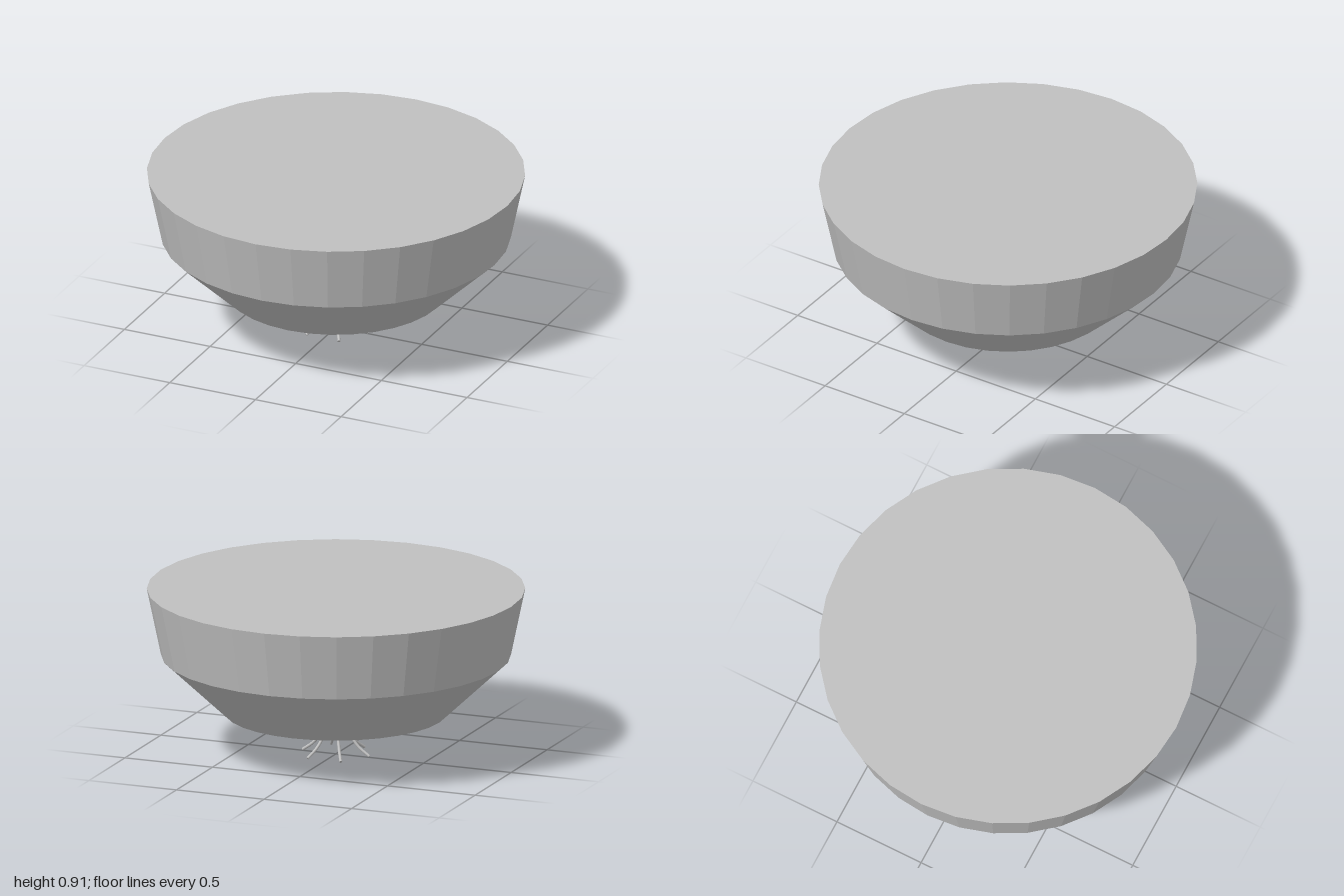
import * as THREE from 'three';

export function createModel() {
  const model = new THREE.Group();
  const grey = new THREE.MeshStandardMaterial({ color: 0xc0c0c0 });
  grey.name = 'light grey';

  // Faceted closed bowl, tapering in three steps to a flat base
  const profile = [[0, 0.135], [0.2, 0.135], [0.59, 0.235], [0.925, 0.55], [1, 0.91], [0, 0.91]]
    .map(([r, y]) => new THREE.Vector2(r, y));
  const bowlGeometry = new THREE.LatheGeometry(profile, 32).toNonIndexed();
  bowlGeometry.computeVertexNormals();
  const bowl = new THREE.Mesh(bowlGeometry, grey);
  bowl.name = 'bowl';
  model.add(bowl);

  // Six splayed wires below the base, each with capped ends
  const radius = 0.008;
  const points = [[0.065, 0.15], [0.09, 0.105], [0.13, 0.055], [0.19, 0.011]]
    .map(([x, y]) => new THREE.Vector3(x, y, 0));
  const curve = new THREE.CatmullRomCurve3(points);
  const wireGeometry = new THREE.TubeGeometry(curve, 8, radius, 8);
  const capGeometry = new THREE.CircleGeometry(radius, 8);
  for (let i = 0; i < 6; i++) {
    const wire = new THREE.Group();
    wire.name = 'wire' + (i + 1);
    wire.add(new THREE.Mesh(wireGeometry, grey));
    const cap = new THREE.Mesh(capGeometry, grey);
    cap.name = 'wireEnd';
    cap.position.copy(points[3]);
    cap.quaternion.setFromUnitVectors(new THREE.Vector3(0, 0, 1), curve.getTangent(1));
    wire.add(cap);
    wire.children[0].name = 'wireStem';
    wire.rotation.y = i * Math.PI / 3;
    model.add(wire);
  }
  return model;
}
